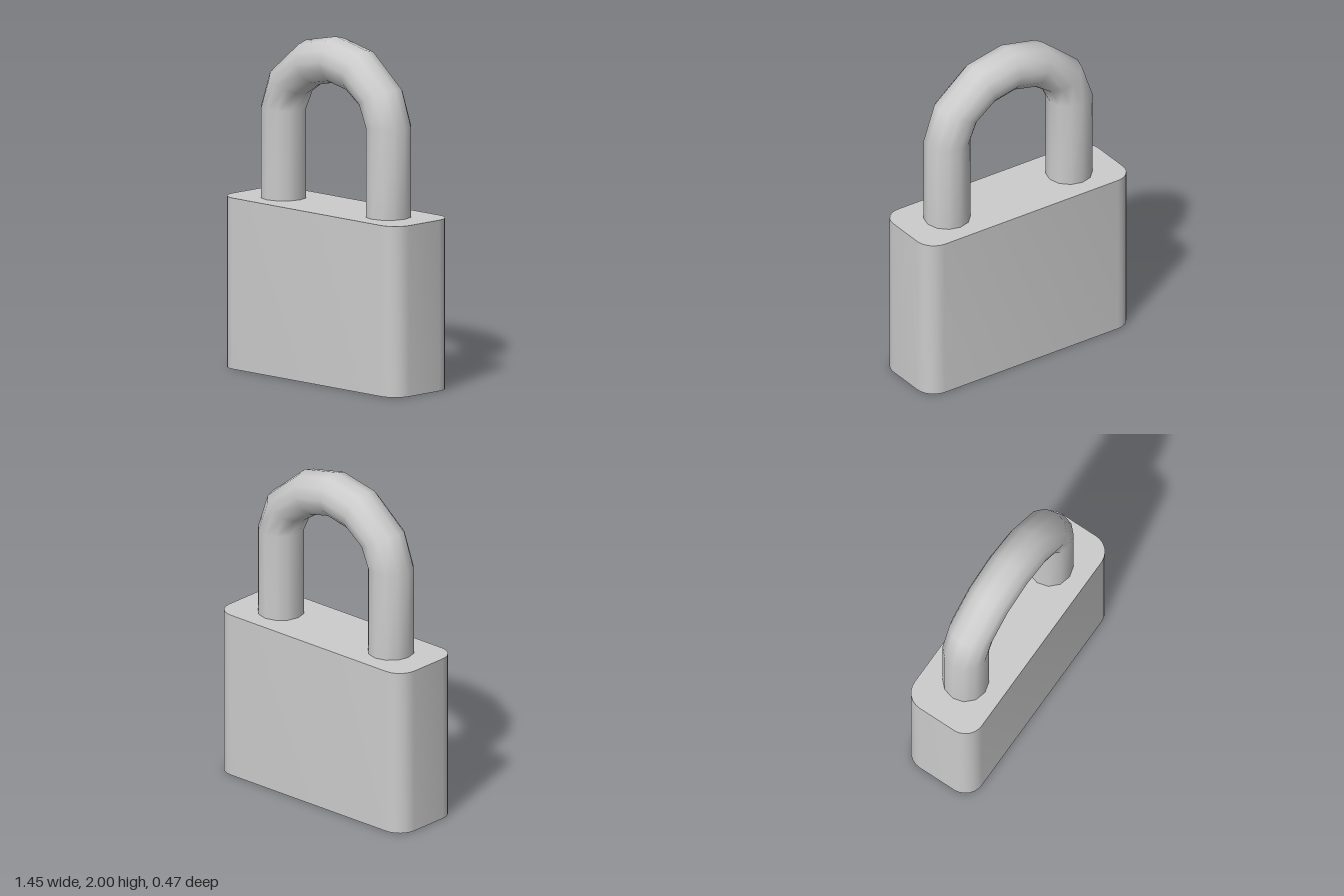
import * as THREE from 'three';
import { toCreasedNormals } from 'three/addons/utils/BufferGeometryUtils.js';

const material = new THREE.MeshStandardMaterial({ color: 0xcccccc });

// Rounded rectangular block, extruded upwards from y = 0
function createBody(halfW, halfD, height, r) {
  const x = halfW - r, z = halfD - r;
  const shape = new THREE.Shape();
  shape.absarc(x, z, r, 0, Math.PI / 2);
  shape.absarc(-x, z, r, Math.PI / 2, Math.PI);
  shape.absarc(-x, -z, r, Math.PI, Math.PI * 1.5);
  shape.absarc(x, -z, r, Math.PI * 1.5, Math.PI * 2);
  const geometry = new THREE.ExtrudeGeometry(shape, {
    depth: height, bevelEnabled: false, curveSegments: 3,
  });
  geometry.rotateX(-Math.PI / 2);
  const mesh = new THREE.Mesh(toCreasedNormals(geometry, 0.75), material);
  mesh.name = 'body';
  return mesh;
}

// Round bar swept through mirrored cross-sections: [x, y, outward angle in degrees]
function createShackle(radius, sides) {
  const half = [[0.43, 1, 0], [0.43, 1.53, 0], [0.367, 1.69, 26], [0.194, 1.825, 68]];
  const sections = [
    ...half,
    [0, 1.866, 90],
    ...half.map(([x, y, a]) => [-x, y, 180 - a]).reverse(),
  ];
  const positions = [], index = [];
  sections.forEach(([x, y, degrees], i) => {
    const a = THREE.MathUtils.degToRad(degrees);
    for (let j = 0; j < sides; j++) {
      const t = (j / sides) * Math.PI * 2;
      const out = radius * Math.cos(t);
      positions.push(x + out * Math.cos(a), y + out * Math.sin(a), radius * Math.sin(t));
      if (i === sections.length - 1) continue;
      const p = i * sides + j, q = i * sides + (j + 1) % sides;
      index.push(p, p + sides, q, q, p + sides, q + sides);
    }
  });
  const geometry = new THREE.BufferGeometry();
  geometry.setAttribute('position', new THREE.Float32BufferAttribute(positions, 3));
  geometry.setIndex(index);
  geometry.computeVertexNormals();
  const mesh = new THREE.Mesh(geometry, material);
  mesh.name = 'shackle';
  return mesh;
}

export function createModel() {
  const group = new THREE.Group();
  group.name = 'padlock';
  group.add(createBody(0.724, 0.236, 1.003, 0.115), createShackle(0.135, 12));
  return group;
}
